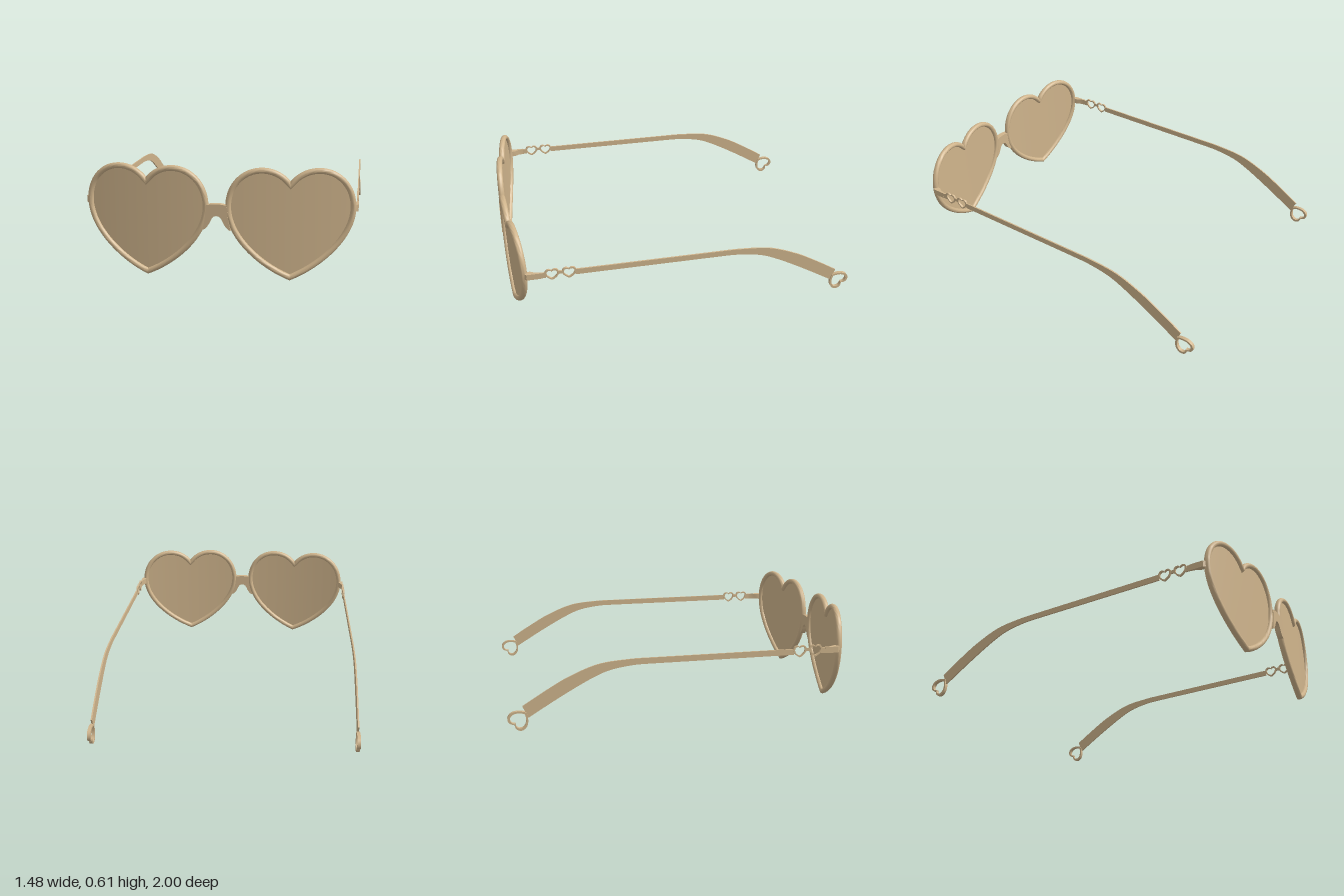
import * as THREE from 'three';
import { toCreasedNormals } from 'three/addons/utils/BufferGeometryUtils.js';

const EYE_X = 0.385;   // centre of each heart
const ARM_X = 0.731;   // plane of the side arms
const MID_Y = 0.33;    // middle of the heart outline
const faceZ = x => 0.98 - 0.157 * x * x; // wrap of the front around the face

// Heart outline, clockwise from the cleft, without repeating the first point
function heartPoints(n) {
  const path = new THREE.CurvePath();
  const v = (x, y) => new THREE.Vector2(x, y);
  path.add(new THREE.CubicBezierCurve(v(0, 0.511), v(0.03, 0.56), v(0.085, 0.592), v(0.147, 0.592)));
  path.add(new THREE.CubicBezierCurve(v(0.147, 0.592), v(0.245, 0.592), v(0.325, 0.51), v(0.325, 0.395)));
  path.add(new THREE.CubicBezierCurve(v(0.325, 0.395), v(0.325, 0.225), v(0.14, 0.075), v(0, 0.016)));
  const half = path.getSpacedPoints(n);
  const other = half.slice(1, -1).reverse().map(p => v(-p.x, p.y));
  return [...half, ...other];
}

// Surface from a rule giving a point for each row and column
function grid(rows, cols, fn) {
  const pos = [], idx = [];
  for (let i = 0; i <= rows; i++)
    for (let j = 0; j <= cols; j++) pos.push(...fn(i, j));
  for (let i = 0; i < rows; i++)
    for (let j = 0; j < cols; j++) {
      const a = i * (cols + 1) + j, c = a + cols + 1;
      idx.push(a, a + 1, c, a + 1, c + 1, c);
    }
  const g = new THREE.BufferGeometry();
  g.setAttribute('position', new THREE.Float32BufferAttribute(pos, 3));
  g.setIndex(idx);
  return toCreasedNormals(g, 0.7);
}

// Oval section swept around the heart, mitred at the cleft and the tip
function rimGeometry(cx) {
  const pts = heartPoints(48), n = pts.length, sides = 16;
  const normals = pts.map((p, i) => {
    const a = p.clone().sub(pts[(i + n - 1) % n]).normalize();
    const b = pts[(i + 1) % n].clone().sub(p).normalize();
    const m = new THREE.Vector2(-a.y - b.y, a.x + b.x).normalize();
    return m.multiplyScalar(Math.min(1.1, 1 / Math.max(0.3, m.x * -a.y + m.y * a.x)));
  });
  return grid(n, sides, (i, j) => {
    const p = pts[i % n], m = normals[i % n], t = (j / sides) * Math.PI * 2;
    const r = 0.0155 * Math.cos(t);
    const x = cx + p.x + m.x * r;
    return [x, p.y + m.y * r, faceZ(cx + p.x) + 0.018 * Math.sin(t)];
  });
}

// Heart filled with concentric rings that follow the wrap
function lensGeometry(cx) {
  const pts = heartPoints(40), n = pts.length, rings = 10;
  return grid(n, rings, (i, j) => {
    const p = pts[i % n], k = Math.max(0.001, j / rings);
    const x = cx + p.x * k;
    return [x, MID_Y + (p.y - MID_Y) * k, faceZ(x)];
  });
}

function extrude(shape, depth) {
  const g = new THREE.ExtrudeGeometry(shape, { depth, bevelEnabled: false, curveSegments: 16 });
  g.translate(0, 0, -depth / 2);
  return g;
}

// Plate drawn in side view (s = -z, y), centred on the given x
function sidePlate(shape, depth, x) {
  const g = extrude(shape, depth);
  g.rotateY(Math.PI / 2);
  g.translate(x, 0, 0);
  return toCreasedNormals(g, 0.6);
}

// Open heart ring placed at (s, y)
function heartRing(s, y, scale, hole, angle = 0) {
  const place = k => heartPoints(18).map(p =>
    new THREE.Vector2(p.x * k, (p.y - MID_Y) * k)
      .rotateAround(new THREE.Vector2(), angle).add(new THREE.Vector2(s, y)));
  const shape = new THREE.Shape(place(scale));
  shape.holes.push(new THREE.Path(place(scale * hole)));
  return shape;
}

function rectangle(s0, s1, y0, y1) {
  return new THREE.Shape([[s0, y0], [s1, y0], [s1, y1], [s0, y1]].map(p => new THREE.Vector2(...p)));
}

// Long arm that bends down and widens behind the ear
function armShape() {
  const v = a => a.map(p => new THREE.Vector2(...p));
  const s = new THREE.Shape();
  s.moveTo(-0.62, 0.374);
  s.lineTo(-0.62, 0.408);
  s.lineTo(0.2, 0.408);
  s.splineThru(v([[0.33, 0.406], [0.5, 0.388], [0.66, 0.328], [0.79, 0.256], [0.92, 0.175]]));
  s.lineTo(0.89, 0.108);
  s.splineThru(v([[0.71, 0.217], [0.55, 0.305], [0.44, 0.35], [0.31, 0.371], [0.2, 0.374]]));
  return s;
}

export function createModel() {
  const model = new THREE.Group();
  model.name = 'heartGlasses';
  const tan = new THREE.MeshStandardMaterial({ color: 0xcfb48c });
  tan.name = 'tan';
  const tanLens = tan;
  tanLens.side = THREE.DoubleSide;
  const add = (parent, name, geometry) => {
    const mesh = new THREE.Mesh(geometry, tan);
    mesh.name = name;
    parent.add(mesh);
  };

  // Bridge with two flared legs resting on the rims
  const b = new THREE.Shape();
  b.moveTo(-0.055, 0.404);
  b.quadraticCurveTo(0, 0.418, 0.055, 0.404);
  b.lineTo(0.062, 0.33);
  b.lineTo(0.075, 0.27);
  b.quadraticCurveTo(0.05, 0.275, 0.03, 0.325);
  b.quadraticCurveTo(0.018, 0.347, 0, 0.347);
  b.quadraticCurveTo(-0.018, 0.347, -0.03, 0.325);
  b.quadraticCurveTo(-0.05, 0.275, -0.075, 0.27);
  b.lineTo(-0.062, 0.33);
  const bridge = extrude(b, 0.032);
  bridge.translate(0, 0, 0.984);
  add(model, 'bridge', toCreasedNormals(bridge, 0.6));

  for (const side of [1, -1]) {
    const half = new THREE.Group();
    half.name = side > 0 ? 'leftSide' : 'rightSide';
    model.add(half);
    add(half, 'rim', rimGeometry(side * EYE_X));
    add(half, 'lens', lensGeometry(side * EYE_X));

    // Hinge block, drawn from above
    const h = [[0.737, 0.888], [0.737, 0.81], [0.727, 0.81], [0.722, 0.84],
      [0.708, 0.865], [0.705, 0.9], [0.72, 0.903]];
    const hinge = extrude(new THREE.Shape(h.map(p => new THREE.Vector2(side * p[0], -p[1]))), 0.036);
    hinge.rotateX(-Math.PI / 2);
    hinge.translate(0, 0.391, 0);
    add(half, 'hinge', toCreasedNormals(hinge, 0.6));

    // Side arm: front bar, two open hearts, long arm, heart at the tip
    const x = side * ARM_X;
    add(half, 'armFront', sidePlate(rectangle(-0.89, -0.783, 0.374, 0.408), 0.008, x));
    for (const s of [-0.75, -0.655])
      add(half, 'armHeart', sidePlate(heartRing(s, 0.395, 0.121, 0.76), 0.011, x));
    add(half, 'heartLink', sidePlate(rectangle(-0.716, -0.69, 0.391, 0.409), 0.008, x));
    add(half, 'arm', sidePlate(armShape(), 0.008, x));
    add(half, 'tipHeart', sidePlate(heartRing(0.941, 0.1, 0.184, 0.78, -Math.PI * 0.75), 0.019, x));
  }
  return model;
}
